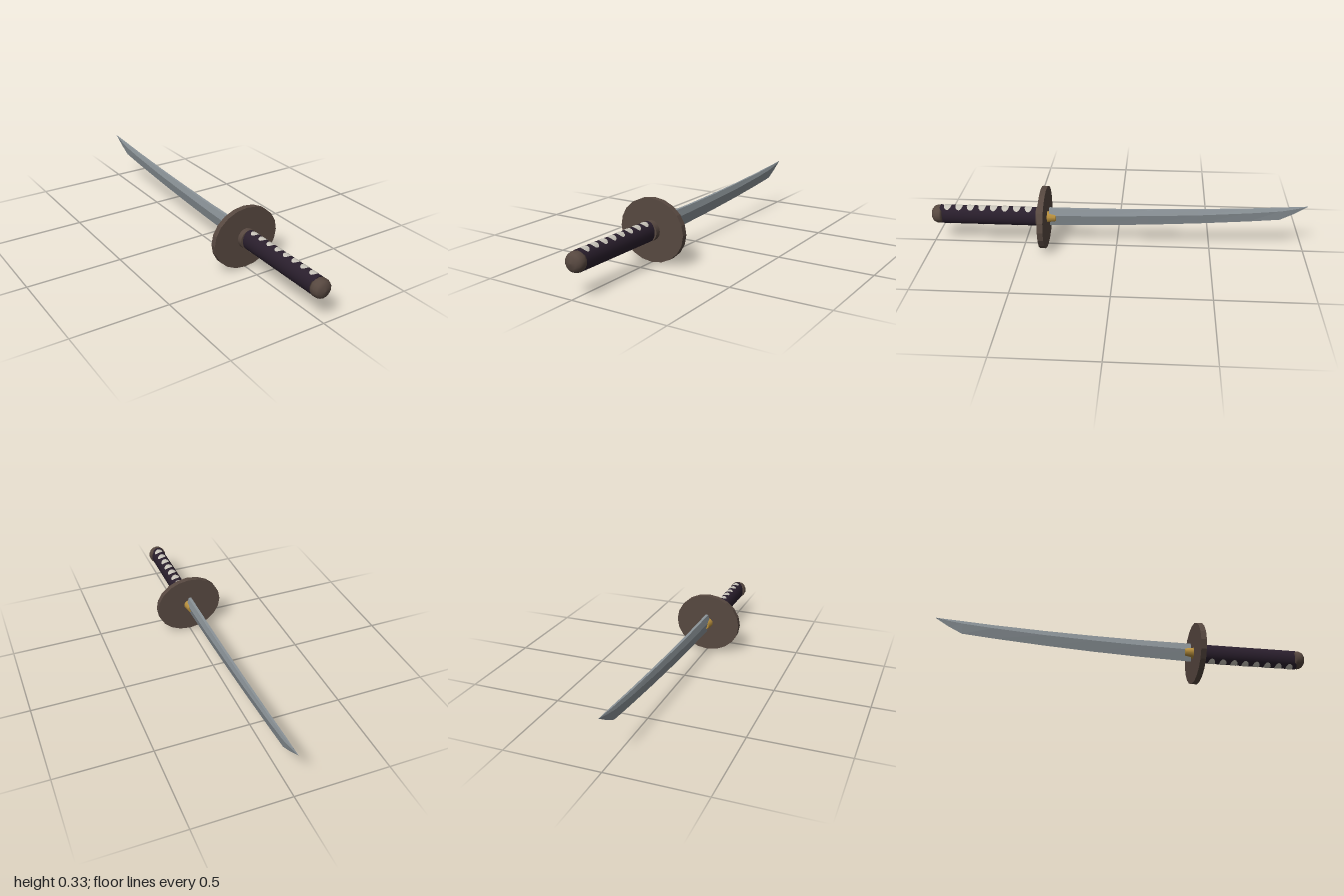
import * as THREE from 'three';

const mat = (name, color) => {
  const m = new THREE.MeshStandardMaterial({ color });
  m.name = name;
  return m;
};

const CY = 0.165; // height of the grip axis

// Gives each face its own normal
function faceted(geo) {
  const g = geo.index ? geo.toNonIndexed() : geo;
  g.computeVertexNormals();
  return g;
}

// Elliptical cylinder along z, from z0 (back) to z1 (front)
function ellipseBar(rx, ry, z0, z1, sides, backScale = 1) {
  return new THREE.CylinderGeometry(1, backScale, z1 - z0, sides)
    .rotateX(Math.PI / 2).scale(rx, ry, 1).translate(0, CY, (z0 + z1) / 2);
}

// Blade lofted through five-sided sections: [z, spine y, ridge y, edge y, half width]
function bladeGeometry() {
  const sections = [
    [0.36, 0.218, 0.178, 0.114, 0.017],
    [0.07, 0.219, 0.184, 0.123, 0.016],
    [-0.17, 0.224, 0.193, 0.134, 0.015],
    [-0.43, 0.233, 0.205, 0.15, 0.0135],
    [-0.7, 0.246, 0.225, 0.171, 0.012],
    [-0.86, 0.257, 0.24, 0.186, 0.0095],
    [-0.93, 0.262, 0.252, 0.222, 0.006],
    [-1, 0.268, 0.267, 0.266, 0.001],
  ];
  const pos = [], index = [], n = 5;
  for (const [z, top, ridge, edge, w] of sections) {
    pos.push(w * 0.45, top, z, w, ridge, z, 0, edge, z, -w, ridge, z, -w * 0.45, top, z);
  }
  for (let i = 0; i < sections.length - 1; i++) {
    for (let j = 0; j < n; j++) {
      const a = i * n + j, b = i * n + (j + 1) % n;
      index.push(a, b, a + n, b, b + n, a + n);
    }
  }
  const last = (sections.length - 1) * n;
  for (let k = 1; k < n - 1; k++) {
    index.push(0, k + 1, k, last, last + k, last + k + 1);
  }
  const g = new THREE.BufferGeometry();
  g.setAttribute('position', new THREE.Float32BufferAttribute(pos, 3));
  g.setIndex(index);
  return faceted(g);
}

// Thin oval patch wrapped over the elliptical grip
function inlayGeometry(z, rx, ry) {
  const g = new THREE.RingGeometry(0.01, 1, 14, 4);
  const p = g.attributes.position;
  for (let i = 0; i < p.count; i++) {
    const t = 0.16 + p.getX(i) * 0.66;
    p.setXYZ(i, rx * Math.sin(t), ry * Math.cos(t), z + p.getY(i) * -0.02);
  }
  g.computeVertexNormals();
  return g;
}

export function createModel() {
  const group = new THREE.Group();
  const steel = mat('steel', 0x8c9499);
  const iron = mat('brown iron', 0x574840);
  const wrap = mat('dark wrap', 0x2a1f2d);
  const brass = mat('brass', 0xb88f3c);
  const ivory = mat('ivory', 0xc8c4ba);

  const add = (name, geo, material, parent = group) => {
    const mesh = new THREE.Mesh(geo, material);
    mesh.name = name;
    parent.add(mesh);
    return mesh;
  };

  // Blade and its collar
  add('blade', bladeGeometry(), steel);
  add('bladeCollar', ellipseBar(0.032, 0.031, 0.325, 0.375, 10, 0.75), brass);

  // Guard
  add('guard', faceted(ellipseBar(0.185, 0.1635, 0.372, 0.402, 20)).translate(0, -0.0015, 0), iron);
  add('gripCollar', ellipseBar(0.05, 0.052, 0.402, 0.43, 16), iron);

  // Grip and rounded pommel
  add('grip', ellipseBar(0.039, 0.053, 0.43, 0.95, 24), wrap);
  const profile = [[0, 0.938], [0.044, 0.938], [0.049, 0.95], [0.049, 0.968],
    [0.043, 0.984], [0.028, 0.995], [0, 1]].map(([r, y]) => new THREE.Vector2(r, y));
  add('pommel', new THREE.LatheGeometry(profile, 14).rotateX(Math.PI / 2).translate(0, CY, 0), iron);

  // Inlays along the top of the grip, repeated half a turn round underneath
  for (const [name, turn] of [['topInlays', 0], ['bottomInlays', Math.PI]]) {
    const row = new THREE.Group();
    row.name = name;
    for (let i = 0; i < 8; i++) {
      add('inlay', inlayGeometry(0.472 + i * 0.0625, 0.0405, 0.0545), ivory, row);
    }
    row.rotation.z = turn;
    row.position.y = CY;
    group.add(row);
  }
  return group;
}
